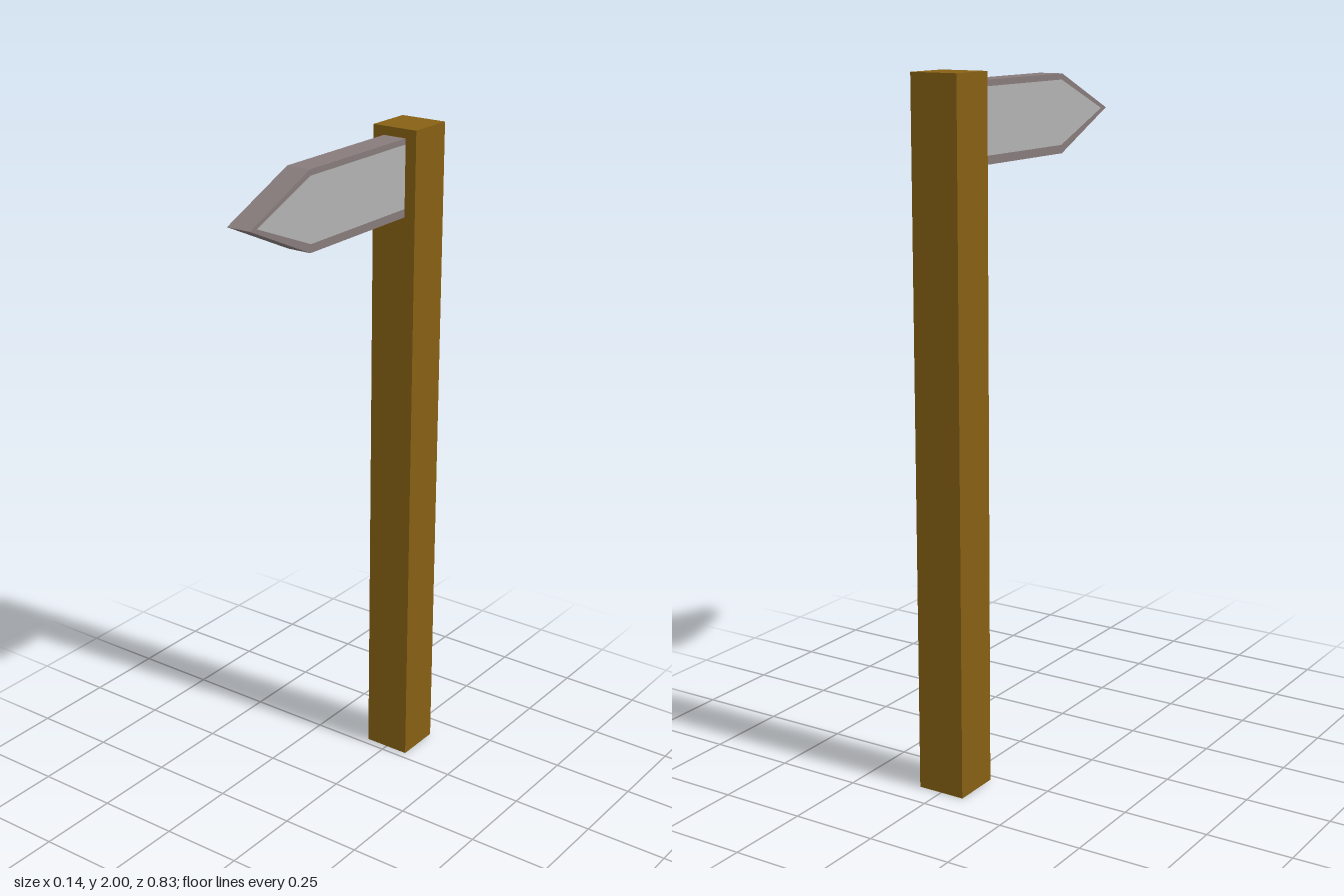
import * as THREE from 'three';

const material = (color) => new THREE.MeshStandardMaterial({ color, side: THREE.DoubleSide, flatShading: true });

function addMesh(parent, name, geometry, mat) {
  const mesh = new THREE.Mesh(geometry, mat);
  mesh.name = name;
  parent.add(mesh);
}

// Flat face from [z, y] points, lying at x = side * offset and facing outward
function sideFace(points, side, offset) {
  const shape = new THREE.Shape(points.map(([z, y]) => new THREE.Vector2(-side * z, y)));
  return new THREE.ShapeGeometry(shape).rotateY(side * Math.PI / 2).translate(side * offset, 0, 0);
}

// Band of flat quads across the board's thickness, following [z, y] points
function edgeBand(points, w) {
  const pos = [];
  for (let i = 0; i < points.length - 1; i++) {
    const [[za, ya], [zb, yb]] = [points[i], points[i + 1]];
    const a = [-w, ya, za], b = [-w, yb, zb], c = [w, yb, zb], d = [w, ya, za];
    pos.push(...a, ...b, ...c, ...a, ...c, ...d);
  }
  const g = new THREE.BufferGeometry();
  g.setAttribute('position', new THREE.Float32BufferAttribute(pos, 3));
  g.computeVertexNormals();
  return g;
}

export function createModel() {
  const model = new THREE.Group();
  model.name = 'signpost';
  const wood = material(0x866014);
  const rimMat = material(0x877b7b);
  const panelMat = material(0xb2b2b2);

  // Post: a square shell, open underneath (the fourth box face is dropped)
  const post = new THREE.BoxGeometry(0.144, 2, 0.144);
  post.setIndex(Array.from(post.index.array).filter((_, i) => i < 18 || i >= 24));
  post.clearGroups();
  addMesh(model, 'post', post.translate(0, 1, -0.346), wood);

  // Arrow board: hollow, open along its straight underside
  const board = new THREE.Group();
  board.name = 'arrowBoard';
  model.add(board);
  const halfWidth = 0.037, back = -0.274;
  const outer = [[back, 1.974], [0.165, 1.974], [0.416, 1.865], [0.165, 1.75]];
  const inner = [[back, 1.957], [0.162, 1.957], [0.387, 1.865], [0.162, 1.774], [back, 1.774]];
  addMesh(board, 'boardEdge', edgeBand(outer, halfWidth), rimMat);

  // Both faces: light panel framed by a flush rim
  const rim = [...outer, [back, 1.75], ...[...inner].reverse()];
  for (const side of [1, -1]) {
    const label = side > 0 ? 'left' : 'right';
    addMesh(board, label + 'Panel', sideFace(inner, side, halfWidth), panelMat);
    addMesh(board, label + 'Rim', sideFace(rim, side, halfWidth), rimMat);
  }
  return model;
}
